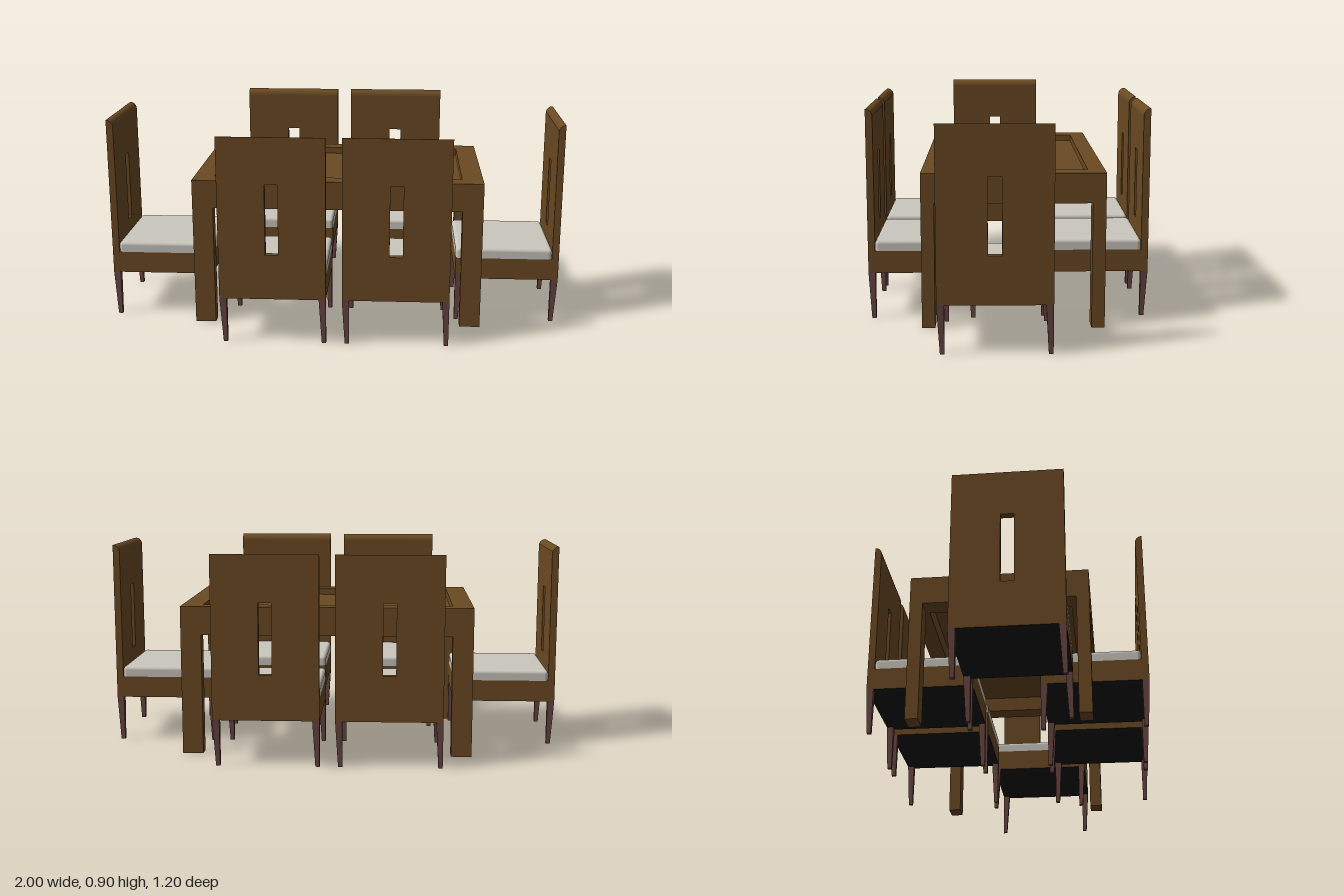
import * as THREE from 'three';
import { RoundedBoxGeometry } from 'three/addons/geometries/RoundedBoxGeometry.js';

const material = (name, color) => {
  const m = new THREE.MeshStandardMaterial({ color });
  m.name = name;
  return m;
};
const wood = material('brown wood', 0x6b4a23);
const fabric = material('cream fabric', 0xcbc7bf);
const legWood = material('reddish leg wood', 0x6b4844);
const black = material('black underside', 0x161616);

function part(name, geometry, mat, parent, x = 0, y = 0, z = 0) {
  const mesh = new THREE.Mesh(geometry, mat);
  mesh.name = name;
  mesh.position.set(x, y, z);
  parent.add(mesh);
  return mesh;
}

function rectangle(T, x0, y0, x1, y1) {
  const r = new T();
  r.moveTo(x0, y0);
  r.lineTo(x1, y0);
  r.lineTo(x1, y1);
  r.lineTo(x0, y1);
  r.closePath();
  return r;
}

// Chair dimensions; the chair faces +z
const W = 0.453, D = 0.455, BACK = 0.03, SEAT_BOTTOM = 0.2, SEAT_TOP = 0.295;

// Square leg, tapered with its foot set forward and to one side
function legGeometry() {
  const g = new THREE.BoxGeometry(0.03, SEAT_BOTTOM, 0.03);
  const p = g.attributes.position;
  for (let i = 0; i < p.count; i++) {
    if (p.getY(i) > 0) continue;
    p.setX(i, p.getX(i) * 0.6 - 0.006);
    p.setZ(i, p.getZ(i) * 0.6 + 0.006);
  }
  g.computeVertexNormals();
  return g;
}

// Pad with rounded upper edges and a flat base at y = 0
function cushionGeometry(height) {
  const g = new RoundedBoxGeometry(W, height * 2, D - BACK, 4, 0.016);
  const p = g.attributes.position;
  for (let i = 0; i < p.count; i++) p.setY(i, Math.max(0, p.getY(i)));
  return g;
}

// Upright panel with a narrow vertical slot
function backGeometry() {
  const s = rectangle(THREE.Shape, -W / 2, SEAT_TOP, W / 2, 0.87);
  s.holes.push(rectangle(THREE.Path, -0.0275, 0.395, 0.0275, 0.7));
  return new THREE.ExtrudeGeometry(s, { depth: BACK, bevelEnabled: false });
}

// Quarter-round edge along the top of the back
function capGeometry() {
  const s = new THREE.Shape();
  s.moveTo(0, 0);
  s.lineTo(BACK, 0);
  s.absarc(0, 0, BACK, 0, Math.PI / 2, false);
  s.closePath();
  const g = new THREE.ExtrudeGeometry(s, { depth: W, bevelEnabled: false, curveSegments: 8 });
  return g.rotateY(-Math.PI / 2).translate(W / 2, 0, 0);
}

function makeChair() {
  const chair = new THREE.Group();
  const seatH = SEAT_TOP - SEAT_BOTTOM;
  part('seatBase', new THREE.BoxGeometry(W, seatH, D),
    [wood, wood, wood, black, wood, wood], chair, 0, SEAT_BOTTOM + seatH / 2, 0);
  part('cushion', cushionGeometry(0.047), fabric, chair, 0, SEAT_TOP, BACK / 2);
  part('chairBack', backGeometry(), wood, chair, 0, 0, -D / 2);
  part('chairBackTop', capGeometry(), wood, chair, 0, 0.87, -D / 2);
  const leg = legGeometry();
  for (const sx of [-1, 1])
    for (const sz of [-1, 1])
      part('chairLeg', leg, legWood, chair,
        sx * (W / 2 - 0.015), SEAT_BOTTOM / 2, sz * (D / 2 - 0.015));
  return chair;
}

function makeTable() {
  const table = new THREE.Group();
  table.name = 'table';
  const x0 = -0.615, x1 = 0.655, z0 = -0.4, z1 = 0.362, top = 0.655, under = 0.53;

  // Deep frame around the sunken top
  const s = rectangle(THREE.Shape, x0, -z1, x1, -z0);
  s.holes.push(rectangle(THREE.Path, -0.525, -0.283, 0.563, 0.328));
  const frame = new THREE.ExtrudeGeometry(s, { depth: top - under, bevelEnabled: false });
  part('tableFrame', frame.rotateX(-Math.PI / 2), wood, table, 0, under, 0);
  part('tableTop', new THREE.BoxGeometry(1.088, 0.025, 0.611), wood, table, 0.019, 0.6125, -0.0225);

  // Corner legs
  const lw = 0.09, ld = 0.055;
  const leg = new THREE.BoxGeometry(lw, under, ld);
  for (const x of [x0 + lw / 2, x1 - lw / 2])
    for (const z of [z0 + ld / 2, z1 - ld / 2])
      part('tableLeg', leg, wood, table, x, under / 2, z);
  return table;
}

export function createModel() {
  const model = new THREE.Group();
  model.name = 'diningSet';
  model.add(makeTable());

  // name, x, z, turn
  const places = [
    ['backChairRight', -0.255, -0.37, 0],
    ['backChairLeft', 0.264, -0.37, 0],
    ['frontChairRight', -0.24, 0.37, Math.PI],
    ['frontChairLeft', 0.281, 0.37, Math.PI],
    ['endChairRight', -0.7725, 0.057, Math.PI / 2],
    ['endChairLeft', 0.7725, 0.057, -Math.PI / 2],
  ];
  for (const [name, x, z, turn] of places) {
    const chair = makeChair();
    chair.name = name;
    chair.position.set(x, 0, z);
    chair.rotation.y = turn;
    model.add(chair);
  }
  return model;
}
